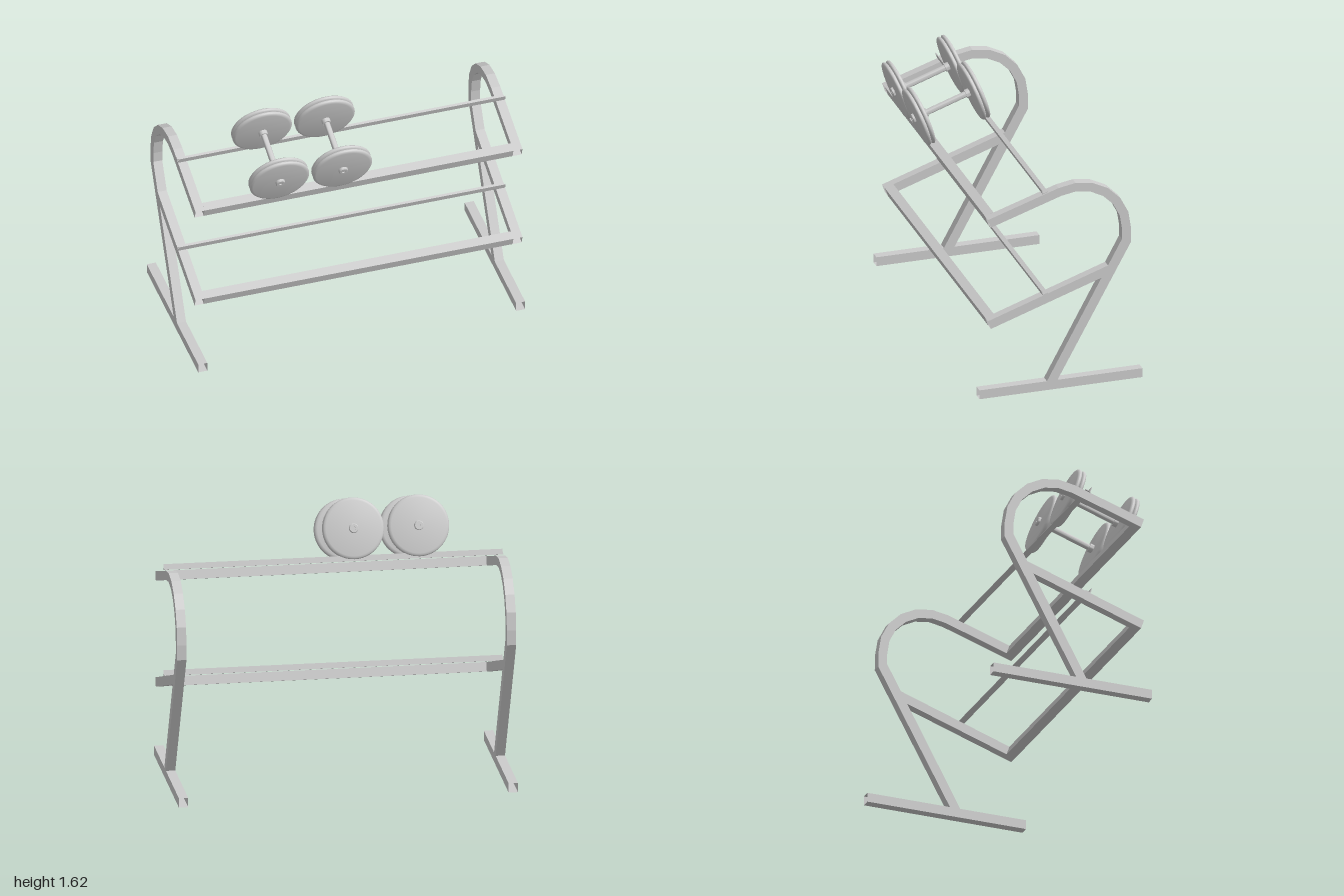
import * as THREE from 'three';
import { toCreasedNormals } from 'three/addons/utils/BufferGeometryUtils.js';

const flat = new THREE.MeshStandardMaterial({ color: 0xcccccc, flatShading: true, side: THREE.DoubleSide });
const smooth = new THREE.MeshStandardMaterial({ color: 0xcccccc });
const TILT = THREE.MathUtils.degToRad(19.1); // slope of the shelves
const SIN = Math.sin(TILT), COS = Math.cos(TILT);
const W = 0.055; // width of the square tubing

function add(parent, name, geometry, material) {
  const mesh = new THREE.Mesh(geometry, material);
  mesh.name = name;
  parent.add(mesh);
  return mesh;
}

// Open-ended square tube, swept through stations [outerZ, outerY, innerZ, innerY]
function squareTube(stations, x0, x1) {
  const rings = stations.map(([oz, oy, iz, iy]) => [[x0, oy, oz], [x1, oy, oz], [x1, iy, iz], [x0, iy, iz]]);
  const pos = [];
  for (let i = 0; i < rings.length - 1; i++) {
    for (let k = 0; k < 4; k++) {
      const n = (k + 1) % 4;
      const a = rings[i][k], b = rings[i][n], c = rings[i + 1][n], d = rings[i + 1][k];
      pos.push(...a, ...d, ...b, ...b, ...d, ...c);
    }
  }
  const g = new THREE.BufferGeometry();
  g.setAttribute('position', new THREE.Float32BufferAttribute(pos, 3));
  g.computeVertexNormals();
  return g;
}

// Lathe around local z from [radius, z] pairs
function turned(profile, segments = 40) {
  const g = new THREE.LatheGeometry(profile.map(p => new THREE.Vector2(...p)), segments);
  g.rotateX(Math.PI / 2);
  return toCreasedNormals(g, 0.7);
}

// Foot, leaning leg with hooked top, and lower arm
function sideFrame(side) {
  const frame = new THREE.Group();
  frame.name = side > 0 ? 'leftFrame' : 'rightFrame';
  const x0 = side > 0 ? 1 - W : -1, x1 = x0 + W;

  add(frame, 'foot', squareTube([[0.455, 0.057, 0.455, 0], [-0.545, 0.057, -0.545, 0]], x0, x1), flat);

  const path = [[-0.024, 0.057, 0.041, 0.057], [-0.476, 0.882, -0.42, 0.907]];
  const steps = 6, cz = -0.14, cy = 0.972, R = 0.335, r = 0.28;
  for (let i = 0; i <= steps; i++) {
    const a = (Math.PI / 2 + TILT) * i / steps;
    const c = Math.cos(a), s = Math.sin(a);
    path.push([cz - R * c, cy + R * s, cz - r * c, cy + r * s]);
  }
  path.push([0.403, 1.145, 0.385, 1.093]);
  add(frame, 'legAndUpperArm', squareTube(path, x0, x1), flat);

  add(frame, 'lowerArm', squareTube([[-0.334, 0.748, -0.295, 0.675], [0.403, 0.494, 0.385, 0.442]], x0, x1), flat);
  return frame;
}

// Front beam and thin angle rail; frontY is the height of the arm's top front edge
function shelf(frontY, name) {
  const g = new THREE.Group();
  g.name = name;
  g.position.set(0, frontY, 0.403);
  g.rotation.x = TILT;

  const beam = add(g, 'frontBeam', new THREE.BoxGeometry(2 - 2 * W, W, W), flat);
  beam.position.set(0, -W / 2, -W / 2);

  // L section: flat flange running back, upright lip at the front
  const t = 0.005, lip = 0.034, base = 0.034;
  const s = new THREE.Shape();
  s.moveTo(0, 0);
  s.lineTo(base, 0);
  s.lineTo(base, t);
  s.lineTo(t, t);
  s.lineTo(t, lip);
  s.lineTo(0, lip);
  s.closePath();
  const geo = new THREE.ExtrudeGeometry(s, { depth: 2, bevelEnabled: false });
  geo.translate(0, 0, -1);
  geo.rotateY(Math.PI / 2);
  const rail = add(g, 'rearRail', geo, flat);
  rail.position.set(0, 0, -(0.403 - 0.066) / COS);
  return g;
}

function dumbbell(x) {
  const g = new THREE.Group();
  g.name = 'dumbbell';
  g.position.set(x, 1.3865, 0.294);
  g.rotation.x = TILT;

  add(g, 'handle', turned([[0.018, -0.16], [0.018, 0.16]], 24), smooth);

  const h = 0.0135, pr = 0.181;
  const plate = turned([[0, -h], [pr - 0.018, -h], [pr - 0.007, -h * 0.8], [pr - 0.001, -h * 0.35],
    [pr, 0], [pr - 0.001, h * 0.35], [pr - 0.007, h * 0.8], [pr - 0.018, h], [0, h]], 48);
  const collar = turned([[0, -0.013], [0.026, -0.013], [0.026, 0.013], [0, 0.013]], 24);
  const cap = turned([[0.028, 0], [0.028, 0.012], [0.024, 0.016], [0.01, 0.016], [0.01, 0.01], [0, 0.01]], 24);

  for (const side of [1, -1]) {
    const end = new THREE.Group();
    end.name = side > 0 ? 'frontWeights' : 'rearWeights';
    end.position.z = side * 0.178;
    if (side < 0) end.rotation.y = Math.PI;
    add(end, 'innerPlate', plate, smooth).position.z = -h;
    add(end, 'outerPlate', plate, smooth).position.z = h;
    add(end, 'collar', collar, smooth).position.z = -2 * h - 0.013;
    add(end, 'endCap', cap, smooth).position.z = 2 * h;
    g.add(end);
  }
  return g;
}

export function createModel() {
  const model = new THREE.Group();
  model.name = 'dumbbellRack';
  for (const side of [1, -1]) model.add(sideFrame(side));
  model.add(shelf(1.145, 'upperShelf'), shelf(0.494, 'lowerShelf'));
  for (const x of [-0.51, -0.125]) model.add(dumbbell(x));
  return model;
}
